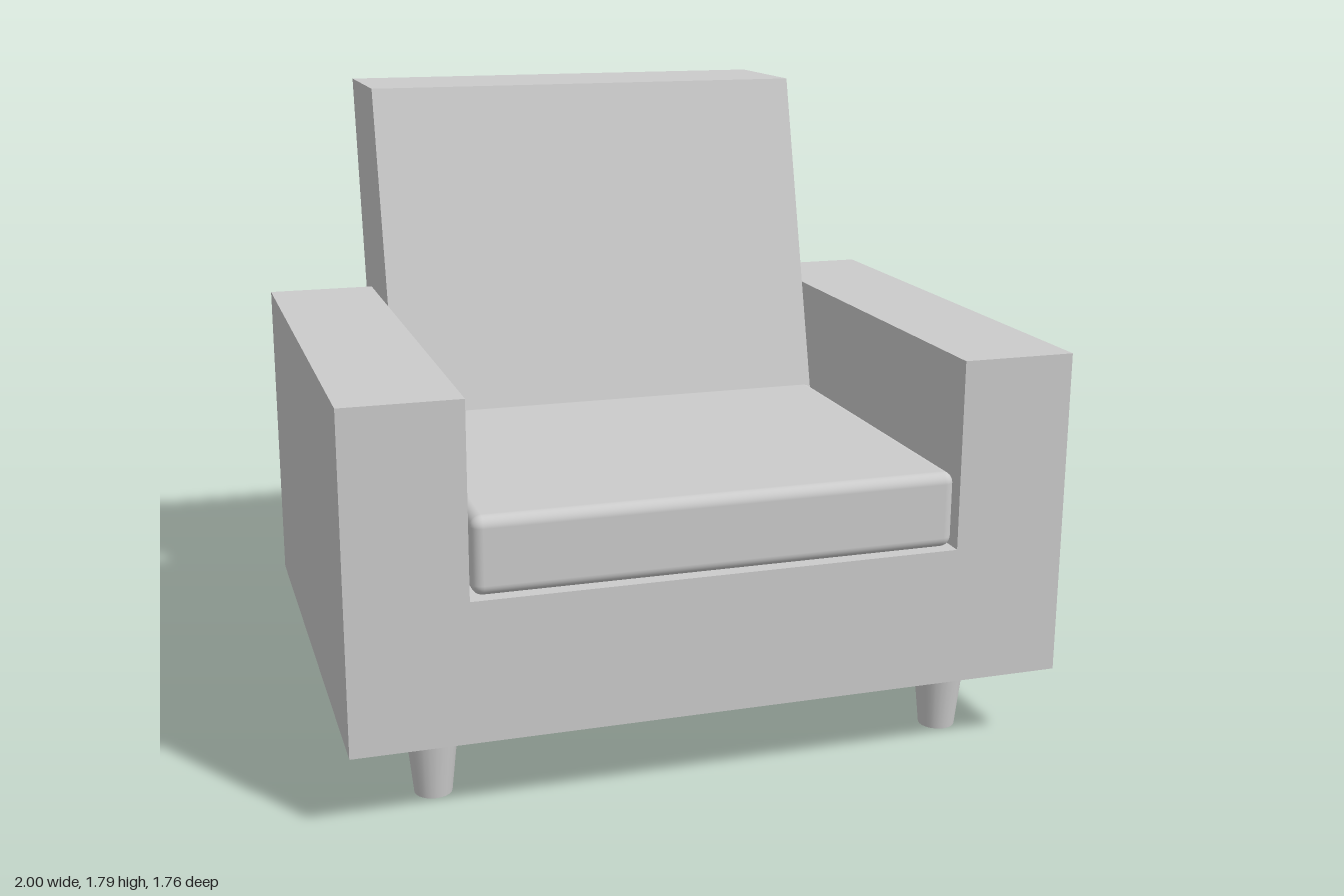
import * as THREE from 'three';
import { RoundedBoxGeometry } from 'three/addons/geometries/RoundedBoxGeometry.js';

const material = new THREE.MeshStandardMaterial({ color: 0xcccccc });

function addPart(group, name, geometry, x = 0, y = 0, z = 0) {
  const mesh = new THREE.Mesh(geometry, material);
  mesh.name = name;
  mesh.position.set(x, y, z);
  group.add(mesh);
  return mesh;
}

// Extrudes a flat outline of [u, v] points without bevel
function extrude(points, depth) {
  const shape = new THREE.Shape(points.map(([u, v]) => new THREE.Vector2(u, v)));
  return new THREE.ExtrudeGeometry(shape, { depth, bevelEnabled: false });
}

export function createModel() {
  const armchair = new THREE.Group();
  armchair.name = 'armchair';

  const bottom = 0.225, floor = 0.615, armTop = 1.147;
  const inner = 0.68, back = -0.63, front = 0.855;

  // Base and both arms as one U-shaped block
  addPart(armchair, 'baseAndArms', extrude([
    [-1, bottom], [1, bottom], [1, armTop], [inner, armTop],
    [inner, floor], [-inner, floor], [-inner, armTop], [-1, armTop],
  ], front - back), 0, 0, back);

  // Leaning, tapered backrest: side outline in (-z, y), extruded across x
  const backrest = extrude([
    [0.16, floor], [-back, floor], [0.882, 1.79], [0.48, 1.79],
  ], inner * 2);
  backrest.rotateY(Math.PI / 2);
  addPart(armchair, 'backrest', backrest, -inner);

  // Loose seat cushion with softened edges
  addPart(armchair, 'seatCushion', new RoundedBoxGeometry(1.33, 0.212, 1.045, 4, 0.03), -0.012, 0.739, 0.36);

  // Tapered round legs, the front pair set wider than the rear
  const leg = new THREE.CylinderGeometry(0.076, 0.052, bottom, 24);
  for (const side of [-1, 1]) {
    const sideName = side > 0 ? 'Left' : 'Right';
    addPart(armchair, `front${sideName}Leg`, leg, side * 0.75, bottom / 2, 0.64);
    addPart(armchair, `rear${sideName}Leg`, leg, side * 0.68, bottom / 2, -0.468);
  }

  return armchair;
}
